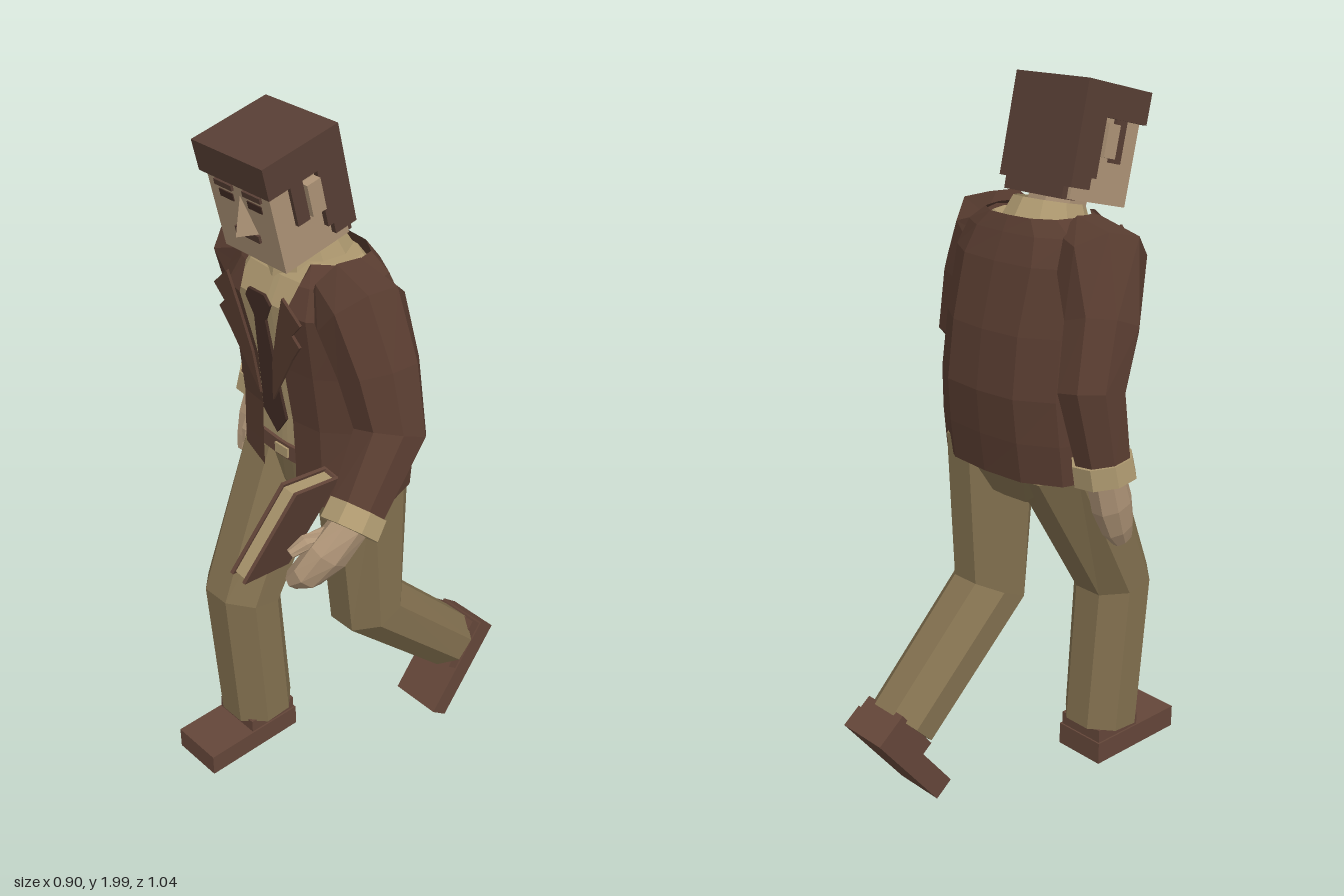
import * as THREE from 'three';

const mat = (name, color, side = THREE.FrontSide) => {
  const m = new THREE.MeshStandardMaterial({ color, flatShading: true, side });
  m.name = name;
  return m;
};

export function createModel() {
  const model = new THREE.Group();
  model.name = 'walkingMan';
  const jacketMat = mat('jacket brown', 0x583c30, THREE.DoubleSide);
  const hairMat = mat('hair brown', 0x573e34);
  const leatherMat = mat('leather brown', 0x644639);
  const trouserMat = mat('trouser olive', 0x82704f);
  const skinMat = mat('skin', 0xad9376);
  const shirtMat = mat('shirt cream', 0xad986f, THREE.DoubleSide);
  const darkMat = mat('dark brown', 0x432d25);

  const add = (name, geo, material, parent = model) => {
    const m = new THREE.Mesh(geo, material);
    m.name = name;
    parent.add(m);
    return m;
  };

  // Box given by its low and high corners
  const box = (name, a, b, material, parent) => {
    const m = add(name, new THREE.BoxGeometry(b[0] - a[0], b[1] - a[1], b[2] - a[2]), material, parent);
    m.position.set((a[0] + b[0]) / 2, (a[1] + b[1]) / 2, (a[2] + b[2]) / 2);
    return m;
  };

  // Surface through a list of rings (arrays of Vector3), optionally wrapped and capped
  const skinRings = (rings, wrap = true, caps = true) => {
    const n = rings[0].length, pos = [], index = [];
    rings.forEach(r => r.forEach(p => pos.push(p.x, p.y, p.z)));
    for (let i = 0; i < rings.length - 1; i++) {
      for (let j = 0; j < (wrap ? n : n - 1); j++) {
        const k = (j + 1) % n, a = i * n + j, b = i * n + k;
        index.push(a, b, b + n, a, b + n, a + n);
      }
    }
    if (wrap && caps) {
      const t = (rings.length - 1) * n;
      for (let j = 1; j < n - 1; j++) index.push(0, j + 1, j, t, t + j, t + j + 1);
    }
    const g = new THREE.BufferGeometry();
    g.setAttribute('position', new THREE.Float32BufferAttribute(pos, 3));
    g.setIndex(index);
    g.computeVertexNormals();
    return g;
  };

  // Faceted limb along stations [x, y, z, radius across, radius front to back]
  const limb = (stations, sides = 8) => {
    const c = stations.map(s => new THREE.Vector3(s[0], s[1], s[2]));
    const dir = (a, b) => c[b].clone().sub(c[a]).normalize();
    const last = c.length - 1;
    return skinRings(stations.map((s, i) => {
      const t = dir(Math.max(i - 1, 0), Math.max(i, 1));
      if (i > 0 && i < last) t.add(dir(i, i + 1)).normalize();
      const z = new THREE.Vector3(0, 0, 1).addScaledVector(t, -t.z).normalize();
      const x = t.clone().cross(z);
      const grow = 1 / Math.cos(Math.PI / sides);
      return Array.from({ length: sides }, (_, j) => {
        const a = (j + 0.5) * 2 * Math.PI / sides;
        return c[i].clone().addScaledVector(x, Math.sin(a) * s[3] * grow)
          .addScaledVector(z, Math.cos(a) * (s[4] ?? s[3]) * grow);
      });
    }));
  };

  // Torso cross-section from [y, half width, front z, back z, half of front opening]
  const torsoRing = ([y, hx, f, b, gap]) => {
    const mid = (f + b) / 2, h = (f - b) / 2;
    const half = [[gap / hx, 1], [0.6, 0.93], [0.9, 0.55], [1, 0], [0.88, -0.6], [0.5, -0.94]];
    const pt = ([x, z]) => new THREE.Vector3(x * hx - 0.01, y, mid + z * h);
    return [...half.map(pt), pt([0, -1]), ...half.map(([x, z]) => pt([-x, z])).reverse()];
  };

  // Thin flat plate from outline points
  const plate = (pts, depth = 0.008) => new THREE.ExtrudeGeometry(
    new THREE.Shape(pts.map(p => new THREE.Vector2(p[0], p[1]))), { depth, bevelEnabled: false });

  // Jacket body, open down the front, with the shirt inside
  const coat = [
    [0.99, 0.26, 0.155, -0.17, 0.065], [1.10, 0.258, 0.157, -0.185, 0.065],
    [1.22, 0.25, 0.16, -0.195, 0.06], [1.38, 0.245, 0.18, -0.175, 0.05],
    [1.55, 0.25, 0.205, -0.13, 0.085], [1.62, 0.215, 0.17, -0.10, 0.10], [1.66, 0.15, 0.13, -0.08, 0.10],
  ];
  add('jacketBody', skinRings(coat.map(torsoRing), false), jacketMat);
  add('shirt', skinRings(coat.slice(1).map(([y, hx, f, b]) =>
    torsoRing([y - 0.008, hx - 0.02, f - 0.02, b + 0.02, 0.01]))), shirtMat);

  // Trouser seat, belt and buckle
  add('trouserSeat', skinRings([[0.9, 0.15, 0.09, -0.1, 0.02], [0.98, 0.22, 0.12, -0.14, 0.02],
    [1.09, 0.23, 0.135, -0.15, 0.02]].map(torsoRing)), trouserMat);
  add('belt', skinRings([[1.075, 0.235, 0.147, -0.155, 0.02], [1.12, 0.235, 0.147, -0.155, 0.02]].map(torsoRing)), leatherMat);
  box('buckle', [-0.035, 1.083, 0.14], [0.015, 1.112, 0.153], shirtMat);

  // Lapels and tie
  const lapels = new THREE.Group();
  lapels.name = 'lapels';
  lapels.position.set(-0.012, 1.28, 0.187);
  lapels.rotation.x = 0.1;
  model.add(lapels);
  for (const s of [-1, 1]) {
    const outline = [[0.025, 0], [0.12, 0.16], [0.155, 0.21], [0.13, 0.235], [0.165, 0.275], [0.105, 0.33], [0.075, 0.24], [0.04, 0.12]];
    const pts = outline.map(([x, y]) => [s * x, y]);
    add('lapel', plate(pts), jacketMat, lapels);
  }
  const tie = add('tie', plate([[0, 0], [0.045, 0.06], [0.035, 0.13], [0.012, 0.35], [0.038, 0.4],
    [0.02, 0.425], [-0.04, 0.425], [-0.055, 0.4], [-0.03, 0.35], [-0.04, 0.13], [-0.045, 0.06]]), darkMat);
  tie.position.set(-0.01, 1.16, 0.156);
  tie.rotation.x = 0.119;

  // Neck and shirt collar
  add('neck', limb([[-0.025, 1.58, 0.05, 0.075], [-0.03, 1.72, 0.085, 0.075]]), skinMat);
  const collar = add('collar', new THREE.CylinderGeometry(0.095, 0.12, 0.06, 10, 1, true), shirtMat);
  collar.position.set(-0.025, 1.655, 0.045);
  collar.rotation.x = 0.2;

  // Arms: sleeve, cuff, hand and thumb
  const arms = {
    right: {
      sleeve: [[-0.15, 1.59, 0.04, 0.08], [-0.245, 1.56, 0.02, 0.11], [-0.305, 1.42, -0.04, 0.092],
        [-0.33, 1.27, -0.1, 0.083], [-0.36, 1.09, -0.085, 0.068]],
      cuff: [[-0.358, 1.1, -0.087, 0.076], [-0.364, 1.045, -0.08, 0.078]],
      hand: [[-0.362, 1.06, -0.08, 0.045, 0.05], [-0.365, 0.97, -0.055, 0.045, 0.055], [-0.365, 0.9, -0.03, 0.035, 0.045], [-0.365, 0.86, -0.01, 0.02, 0.03]],
      thumb: [[-0.345, 1.02, -0.04, 0.02], [-0.335, 0.95, 0.005, 0.018], [-0.335, 0.91, 0.012, 0.012]],
    },
    left: {
      sleeve: [[0.13, 1.6, 0.07, 0.085], [0.215, 1.57, 0.08, 0.11], [0.28, 1.44, 0.08, 0.098],
        [0.335, 1.29, 0.09, 0.088], [0.37, 1.13, 0.235, 0.068]],
      cuff: [[0.368, 1.14, 0.225, 0.074], [0.376, 1.1, 0.263, 0.076]],
      hand: [[0.37, 1.11, 0.25, 0.045, 0.05], [0.355, 1.04, 0.31, 0.045, 0.065], [0.325, 0.985, 0.35, 0.04, 0.06], [0.295, 0.96, 0.37, 0.025, 0.04]],
      thumb: [[0.345, 1.09, 0.29, 0.02], [0.325, 1.08, 0.36, 0.019], [0.315, 1.06, 0.4, 0.012]],
    },
  };
  const parts = { sleeve: jacketMat, cuff: shirtMat, hand: skinMat, thumb: skinMat };
  for (const side of Object.keys(arms))
    for (const part of Object.keys(parts)) add(side + ' ' + part, limb(arms[side][part]), parts[part]);

  // Book held in the left hand
  const book = new THREE.Group();
  book.name = 'book';
  const up = new THREE.Vector3(0.07, 0.25, -0.11).normalize();
  const across = new THREE.Vector3(0.07, 0.1, 0.18);
  across.addScaledVector(up, -across.dot(up)).normalize();
  book.applyMatrix4(new THREE.Matrix4().makeBasis(up.clone().cross(across), up, across));
  book.position.set(0.263, 1.105, 0.37);
  model.add(book);
  for (const s of [-1, 1]) {
    const cover = add('cover', new THREE.BoxGeometry(0.009, 0.28, 0.21), leatherMat, book);
    cover.position.x = s * 0.02;
  }
  box('spine', [-0.02, -0.14, -0.105], [0.02, 0.14, -0.096], leatherMat, book);
  box('pages', [-0.016, -0.132, -0.097], [0.016, 0.132, 0.098], shirtMat, book);

  // Trouser legs
  add('rightLeg', limb([[-0.125, 1.04, 0, 0.115, 0.14], [-0.125, 0.6, 0.21, 0.108, 0.1], [-0.122, 0.155, 0.175, 0.102, 0.098]]), trouserMat);
  add('leftLeg', limb([[0.122, 1.04, -0.02, 0.105, 0.13], [0.122, 0.57, -0.04, 0.106, 0.1], [0.122, 0.25, -0.375, 0.1, 0.087]]), trouserMat);

  // Shoes, heel at the local origin
  for (const [name, x, y, z, turn] of [['rightShoe', -0.12, 0.055, 0.09, 0.015], ['leftShoe', 0.125, 0.26, -0.512, 0.915]]) {
    const shoe = new THREE.Group();
    shoe.name = name;
    shoe.position.set(x, y, z);
    shoe.rotation.x = turn;
    model.add(shoe);
    box('shoeSole', [-0.08, 0, 0], [0.08, 0.066, 0.32], leatherMat, shoe);
    box('shoeAnkle', [-0.075, 0.06, 0.005], [0.075, 0.105, 0.165], leatherMat, shoe);
  }

  // Head, nodding forward
  const head = new THREE.Group();
  head.name = 'head';
  head.position.set(-0.034, 1.66, 0.09);
  head.rotation.x = 0.235;
  model.add(head);
  box('face', [-0.115, 0.025, -0.1], [0.115, 0.25, 0.107], skinMat, head);
  box('hairTop', [-0.13, 0.238, -0.118], [0.13, 0.321, 0.118], hairMat, head);
  box('hairBack', [-0.13, 0.055, -0.118], [0.13, 0.238, -0.05], hairMat, head);
  box('hairNape', [-0.105, 0.023, -0.118], [0.105, 0.055, -0.07], hairMat, head);
  for (const s of [-1, 1]) {
    const sideBox = (name, x0, x1, y0, y1, z0, z1, m) =>
      box(name, [Math.min(s * x0, s * x1), y0, z0], [Math.max(s * x0, s * x1), y1, z1], m, head);
    sideBox('hairBehindEar', 0.11, 0.13, 0.085, 0.238, -0.05, -0.032, hairMat);
    sideBox('sideburn', 0.11, 0.126, 0.13, 0.238, 0.012, 0.05, hairMat);
    sideBox('ear', 0.11, 0.14, 0.14, 0.225, -0.03, 0.012, skinMat);
    sideBox('eyebrow', 0.02, 0.085, 0.212, 0.227, 0.105, 0.114, hairMat);
    sideBox('eye', 0.027, 0.078, 0.18, 0.2, 0.105, 0.11, darkMat);
  }
  const nose = add('nose', new THREE.ConeGeometry(0.04, 0.095, 4), skinMat, head);
  nose.position.set(0, 0.157, 0.107);
  box('moustache', [-0.045, 0.088, 0.105], [0.045, 0.108, 0.114], hairMat, head);
  return model;
}
